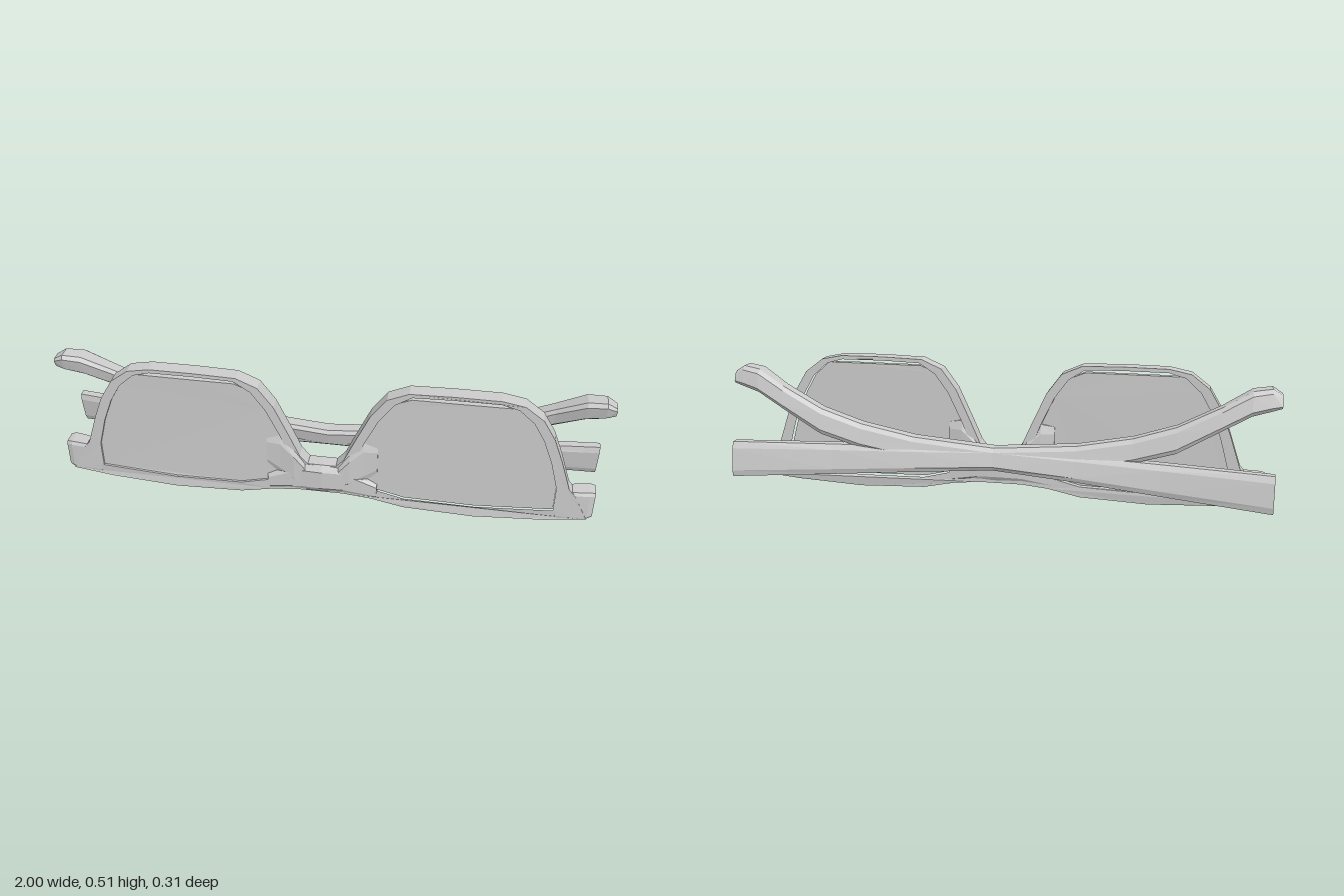
import * as THREE from 'three';

const mat = new THREE.MeshStandardMaterial({ color: 0xcccccc, flatShading: true });

// Loft along x through chamfered box sections: [x, yLow, yHigh, zBack, zFront].
// lean pushes the lower edge backwards, s = -1 mirrors in x.
function loft(name, sections, { s = 1, lean = 0, c = 0.2 } = {}) {
  const ring = [[c, 1], [1 - c, 1], [1, 1 - c], [1, c], [1 - c, 0], [c, 0], [0, c], [0, 1 - c]];
  const pos = [], idx = [], n = ring.length;
  for (const [x, y0, y1, z0, z1] of sections)
    for (const [u, v] of ring)
      pos.push(s * x, y0 + (y1 - y0) * v, z0 + (z1 - z0) * u - lean * (1 - v));
  const tri = (a, b, d) => (s > 0 ? idx.push(a, b, d) : idx.push(a, d, b));
  for (let i = 0; i < sections.length - 1; i++)
    for (let j = 0; j < n; j++) {
      const a = i * n + j, b = i * n + (j + 1) % n;
      tri(a, b, a + n);
      tri(b, b + n, a + n);
    }
  const e = (sections.length - 1) * n;
  for (let k = 1; k < n - 1; k++) {
    tri(0, k + 1, k);
    tri(e, e + k, e + k + 1);
  }
  const g = new THREE.BufferGeometry();
  g.setAttribute('position', new THREE.Float32BufferAttribute(pos, 3));
  g.setIndex(idx);
  const flat = g.toNonIndexed();
  flat.computeVertexNormals();
  const m = new THREE.Mesh(flat, mat);
  m.name = name;
  return m;
}

// Flat plate between two depths, bent slightly backwards towards the sides
function plate(name, shape, z0, z1) {
  const g = new THREE.ExtrudeGeometry(shape, { depth: z1 - z0, bevelEnabled: false });
  const p = g.attributes.position;
  for (let i = 0; i < p.count; i++) p.setZ(i, p.getZ(i) + z0 - 0.015 * p.getX(i) ** 4);
  g.computeVertexNormals();
  const m = new THREE.Mesh(g, mat);
  m.name = name;
  return m;
}

const vecs = (pts, s = 1) => pts.map(([x, y]) => new THREE.Vector2(s * x, y));

export function createModel() {
  const model = new THREE.Group();
  model.name = 'foldedGlasses';

  // Rim outline of one half, from bridge over the lens to the bottom edge
  const half = [
    [0.05, 0.165], [0.08, 0.2], [0.115, 0.28], [0.17, 0.4], [0.225, 0.475], [0.3, 0.508],
    [0.45, 0.512], [0.61, 0.511], [0.69, 0.495], [0.755, 0.445], [0.8, 0.37], [0.835, 0.28],
    [0.875, 0.16], [0.9, 0.13], [0.95, 0.03], [0.8, 0.014], [0.55, 0], [0.3, 0.01], [0.18, 0.035], [0.08, 0.045],
  ];
  const opening = [
    [0.12, 0.2], [0.15, 0.28], [0.2, 0.385], [0.25, 0.455], [0.31, 0.494], [0.45, 0.498],
    [0.61, 0.497], [0.67, 0.48], [0.725, 0.43], [0.765, 0.36], [0.8, 0.27], [0.83, 0.16],
    [0.83, 0.06], [0.55, 0.045], [0.3, 0.05], [0.16, 0.085],
  ];
  const outline = new THREE.Shape([...vecs(half), ...vecs(half, -1).reverse()]);
  for (const s of [1, -1]) outline.holes.push(new THREE.Path(vecs(opening, s)));
  model.add(plate('frameFront', outline, 0.086, 0.14));

  for (const s of [1, -1]) {
    const side = s > 0 ? 'left' : 'right';

    // Lens, stopping short of the rim to leave a narrow slit
    const lensEdge = opening.map(([x, y]) => [x, Math.min(y, 0.48)]);
    model.add(plate(side + 'Lens', new THREE.Shape(vecs(lensEdge, s)), 0.108, 0.132));

    // Corner block reaching back to the hinge
    model.add(loft(side + 'Endpiece', [
      [0.84, 0.022, 0.14, 0.085, 0.132], [0.9, 0.024, 0.145, 0.066, 0.13], [0.95, 0.026, 0.145, 0.056, 0.125],
      [0.97, 0.032, 0.14, 0.058, 0.116],
    ], { s, c: 0.1 }));

    // Nose flare along the inner side of the rim
    model.add(loft(side + 'NosePad', [
      [0.06, 0.06, 0.17, 0.08, 0.15], [0.1, 0.07, 0.23, 0.08, 0.15], [0.15, 0.1, 0.28, 0.088, 0.142],
      [0.2, 0.14, 0.27, 0.1, 0.136],
    ], { s }));

    // Folded temple: broad hinge end on one side, curved ear tip on the other
    const dz = s > 0 ? 0 : 0.028;
    model.add(loft((s > 0 ? 'right' : 'left') + 'Temple', [
      [-0.985, 0.075, 0.205, -0.138 + dz, -0.095 + dz],
      [-0.6, 0.098, 0.208, -0.092 + dz / 2, -0.04 + dz / 2],
      [-0.3, 0.122, 0.212, -0.068, -0.015],
      [0, 0.142, 0.22, -0.055, 0.012],
      [0.3, 0.165, 0.245, -0.055, 0.008],
      [0.5, 0.2, 0.285, -0.056, 0.005],
      [0.65, 0.245, 0.335, -0.058, 0.002],
      [0.8, 0.33, 0.41, -0.045, 0.02],
      [0.9, 0.385, 0.468, -0.032, 0.05],
      [0.965, 0.402, 0.476, -0.018, 0.058],
      [1, 0.412, 0.455, -0.008, 0.048],
    ], { s, lean: 0.02, c: 0.18 }));
  }

  // Bridge bulging forwards in the middle
  model.add(loft('bridge', [
    [-0.2, 0.035, 0.1, 0.086, 0.142], [-0.08, 0.045, 0.165, 0.08, 0.15], [0, 0.047, 0.168, 0.075, 0.156],
    [0.08, 0.045, 0.165, 0.08, 0.15], [0.2, 0.035, 0.1, 0.086, 0.142],
  ]));

  return model;
}
